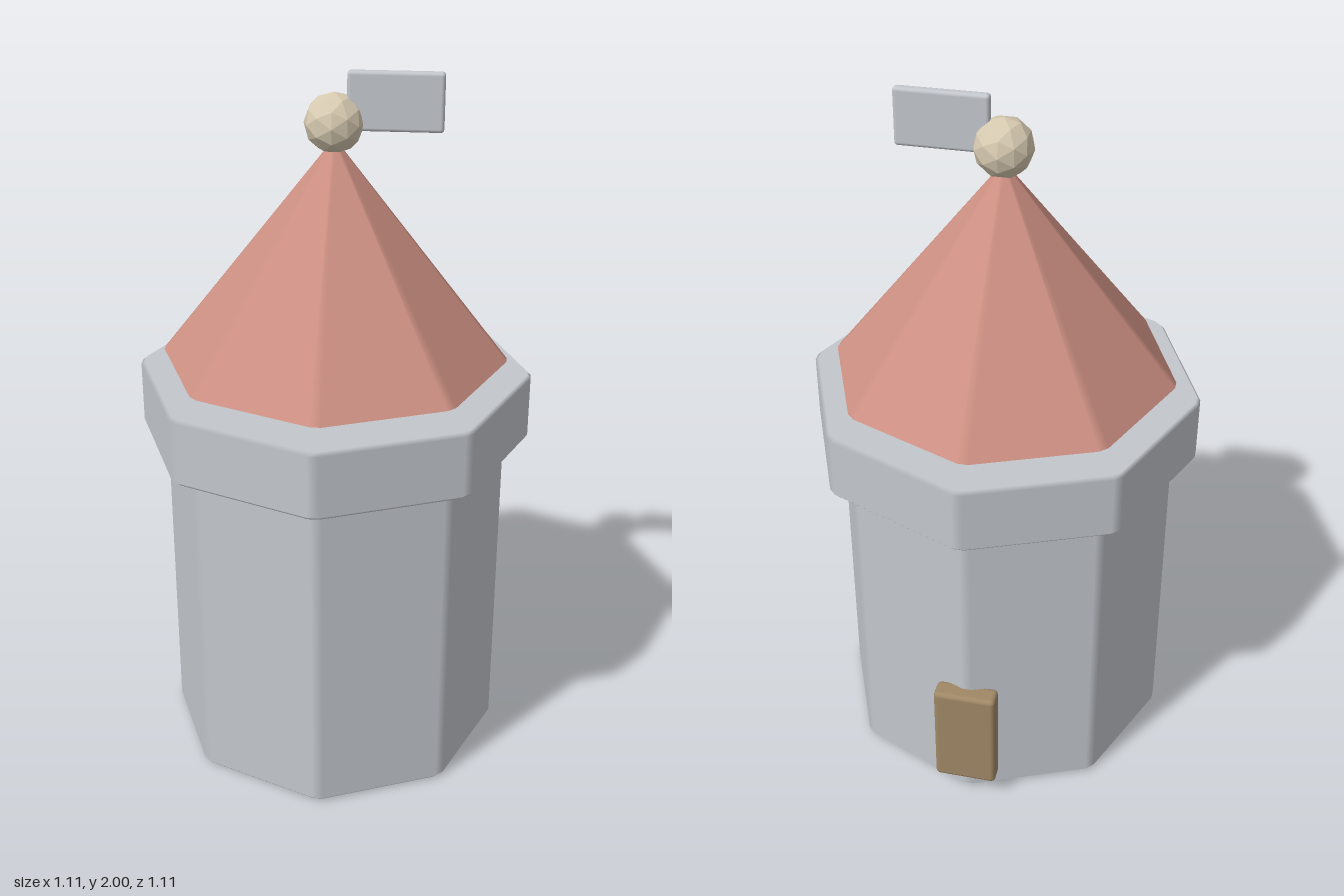
import * as THREE from 'three';
import { RoundedBoxGeometry } from 'three/addons/geometries/RoundedBoxGeometry.js';

const SIDES = 8;
const CHAMFER = 0.016;

// Octagonal solid with softened corners.
// Profile runs bottom to top: [radius, y, outward normal, upward normal].
function octagonSolid(profile) {
  const positions = [], normals = [], index = [];
  const ring = SIDES * 2;
  const half = Math.PI / SIDES;
  for (const [r, y, out, up] of profile) {
    const c = Math.min(CHAMFER, r * 0.38);
    for (let i = 0; i < SIDES; i++) {
      const a = i * 2 * half;
      for (const side of [-1, 1]) {
        const face = a + side * half; // direction of the neighbouring face
        const along = face + side * Math.PI / 2; // along that face, away from the corner
        positions.push(
          r * Math.sin(a) + c * Math.sin(along), y,
          r * Math.cos(a) + c * Math.cos(along));
        normals.push(out * Math.sin(face), up, out * Math.cos(face));
      }
    }
  }
  for (let k = 0; k < profile.length - 1; k++) {
    for (let i = 0; i < ring; i++) {
      const j = (i + 1) % ring;
      const a = k * ring + i, b = k * ring + j;
      index.push(a, b, b + ring, a, b + ring, a + ring);
    }
  }
  const geometry = new THREE.BufferGeometry();
  geometry.setAttribute('position', new THREE.Float32BufferAttribute(positions, 3));
  geometry.setAttribute('normal', new THREE.Float32BufferAttribute(normals, 3));
  geometry.setIndex(index);
  return geometry;
}

// Upright drum with bevelled rims
function drum(radius, y0, y1, bevel = 0.01) {
  return octagonSolid([
    [0, y0, 0, -1], [radius - bevel, y0, 0, -1],
    [radius, y0 + bevel, 1, 0], [radius, y1 - bevel, 1, 0],
    [radius - bevel, y1, 0, 1], [0, y1, 0, 1],
  ]);
}

// Pointed roof with a closed underside
function spire(radius, y0, tipRadius, y1) {
  const slope = new THREE.Vector2(y1 - y0, (radius - tipRadius) * Math.cos(Math.PI / SIDES)).normalize();
  return octagonSolid([
    [0, y0, 0, -1], [radius, y0, 0, -1],
    [radius, y0, slope.x, slope.y], [tipRadius, y1, slope.x, slope.y],
    [0, y1 + 0.01, 0, 1],
  ]);
}

export function createModel() {
  const material = (name, color) => {
    const m = new THREE.MeshStandardMaterial({ color });
    m.name = name;
    return m;
  };
  const stone = material('stone grey', 0xc3c7cd);
  const tile = material('roof clay', 0xcd9083);
  const sand = material('finial sand', 0xd6c9b0);
  const wood = material('door wood', 0xa08866);

  const group = new THREE.Group();
  group.name = 'tower';
  const add = (name, geometry, mat, x = 0, y = 0, z = 0) => {
    const mesh = new THREE.Mesh(geometry, mat);
    mesh.name = name;
    mesh.position.set(x, y, z);
    group.add(mesh);
  };

  // Walls and overhanging collar
  add('towerWall', drum(0.494, 0, 0.975), stone);
  add('collar', drum(0.562, 0.963, 1.158), stone);

  // Roof floats just above the collar
  add('roof', spire(0.492, 1.197, 0.012, 1.805), tile);

  // Faceted ball and flag at the tip
  const ball = new THREE.IcosahedronGeometry(0.082, 1);
  sand.flatShading = true;
  add('finialBall', ball, sand, 0, 1.86, 0);
  add('flag', new RoundedBoxGeometry(0.257, 0.16, 0.028, 2, 0.01), stone, 0.163, 1.92, 0);

  // Door across the back corner
  add('door', new RoundedBoxGeometry(0.18, 0.33, 0.062, 2, 0.014), wood, 0, 0.235, -0.496);

  return group;
}
